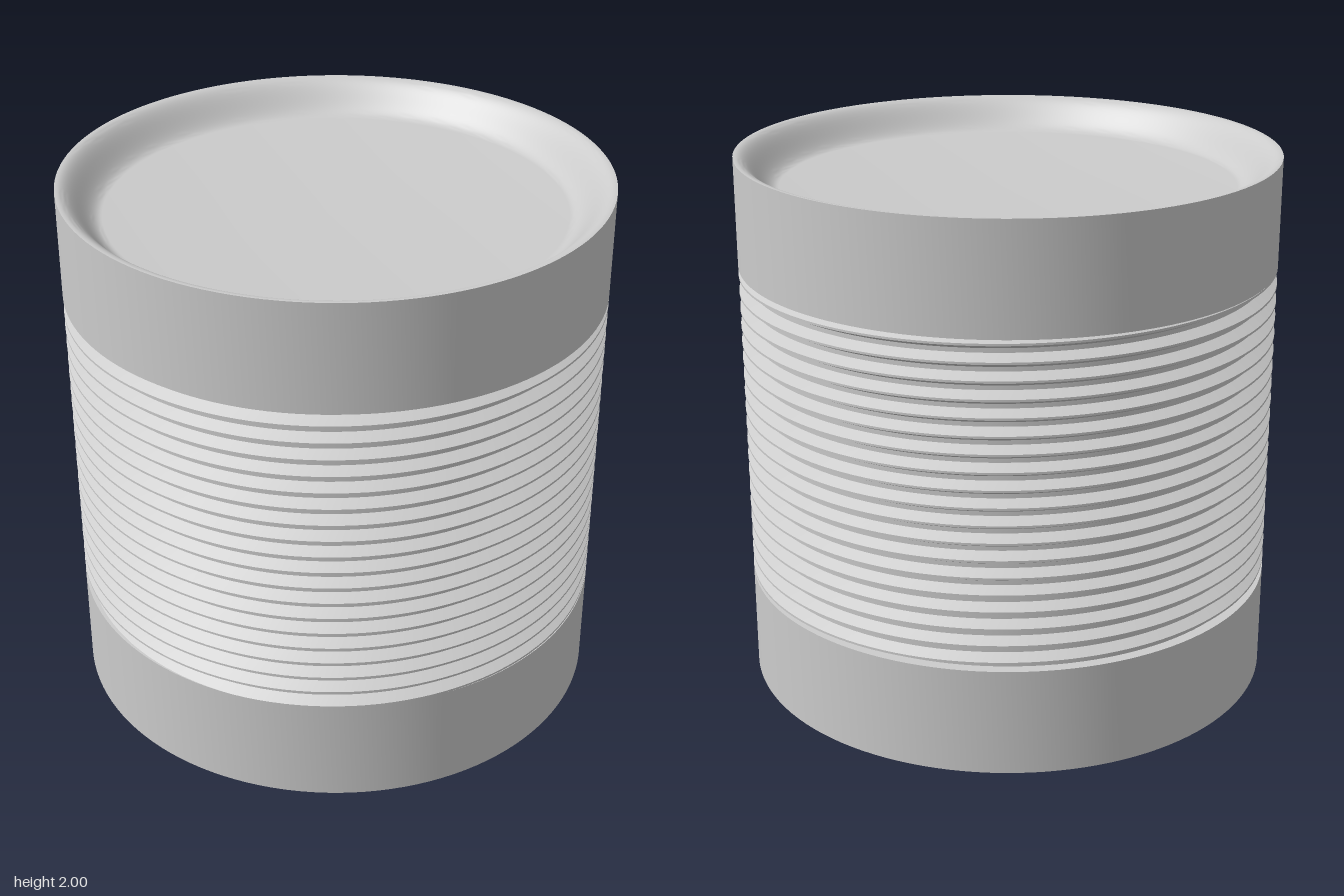
import * as THREE from 'three';
import { toCreasedNormals } from 'three/addons/utils/BufferGeometryUtils.js';

const R = 0.99;          // outer radius
const ROOT = 0.95;       // thread root radius
const PITCH = 0.064;
const LOW = 0.4, HIGH = 1.6; // threaded span
const CREST_Y = 1.547;   // height of one crest at the front
const SEG = 128;

// Thread radius for a position within one turn (0 = crest centre)
function threadRadius(turn) {
  const f = Math.abs(turn - Math.round(turn)); // 0 crest .. 0.5 root
  const t = THREE.MathUtils.clamp((f - 1 / 16) / (5 / 16), 0, 1);
  return R + (ROOT - R) * t;
}

// Right-handed helical surface, trimmed flat at both collars
function threadGeometry() {
  const steps = [-1 / 16, 1 / 16, 3 / 8, 5 / 8];
  const first = Math.floor((LOW - CREST_Y) / PITCH) - 2;
  const last = Math.ceil((HIGH - CREST_Y) / PITCH) + 1;
  const rows = [];
  for (let k = first; k <= last; k++) for (const s of steps) rows.push(k + s);

  const positions = [], index = [];
  for (const row of rows) {
    for (let j = 0; j <= SEG; j++) {
      const a = (j % SEG) / SEG * Math.PI * 2;
      const raw = CREST_Y + PITCH * (row + j / SEG);
      const y = THREE.MathUtils.clamp(raw, LOW, HIGH);
      const r = threadRadius((y - CREST_Y) / PITCH - j / SEG);
      positions.push(r * Math.sin(a), y, r * Math.cos(a));
    }
  }
  const w = SEG + 1;
  const yAt = (i) => positions[i * 3 + 1];
  const addFace = (a, b, c) => {
    if (yAt(a) === yAt(b) && yAt(b) === yAt(c)) return; // fully trimmed away
    index.push(a, b, c);
  };
  for (let i = 0; i < rows.length - 1; i++) {
    for (let j = 0; j < SEG; j++) {
      const a = i * w + j, b = a + 1, c = b + w, d = a + w;
      addFace(a, b, c);
      addFace(a, c, d);
    }
  }
  const geometry = new THREE.BufferGeometry();
  geometry.setAttribute('position', new THREE.Float32BufferAttribute(positions, 3));
  geometry.setIndex(index);
  return toCreasedNormals(geometry, 0.5);
}

// Plain collar with a softly dished end face
function collarGeometry() {
  const points = [
    new THREE.Vector2(0.94, HIGH),
    new THREE.Vector2(R, HIGH),
    new THREE.Vector2(R, 2),
  ];
  const n = 20, outer = 0.985, inner = 0.83, depth = 0.12;
  for (let i = 0; i <= n; i++) {
    const t = i / n;
    points.push(new THREE.Vector2(
      outer + (inner - outer) * t,
      2 - depth * (1 - Math.cos(Math.PI * t)) / 2,
    ));
  }
  points.push(new THREE.Vector2(0, 2 - depth));
  return toCreasedNormals(new THREE.LatheGeometry(points, SEG), 0.5);
}

export function createModel() {
  const group = new THREE.Group();
  group.name = 'threadedCylinder';
  const material = new THREE.MeshStandardMaterial({ color: 0xcccccc });

  const thread = new THREE.Mesh(threadGeometry(), material);
  thread.name = 'thread';
  group.add(thread);

  const collar = collarGeometry();
  const top = new THREE.Mesh(collar, material);
  top.name = 'topCollar';
  group.add(top);

  // Same collar turned upside down
  const bottom = new THREE.Mesh(collar, material);
  bottom.name = 'bottomCollar';
  bottom.rotation.x = Math.PI;
  bottom.position.y = 2;
  group.add(bottom);

  return group;
}
